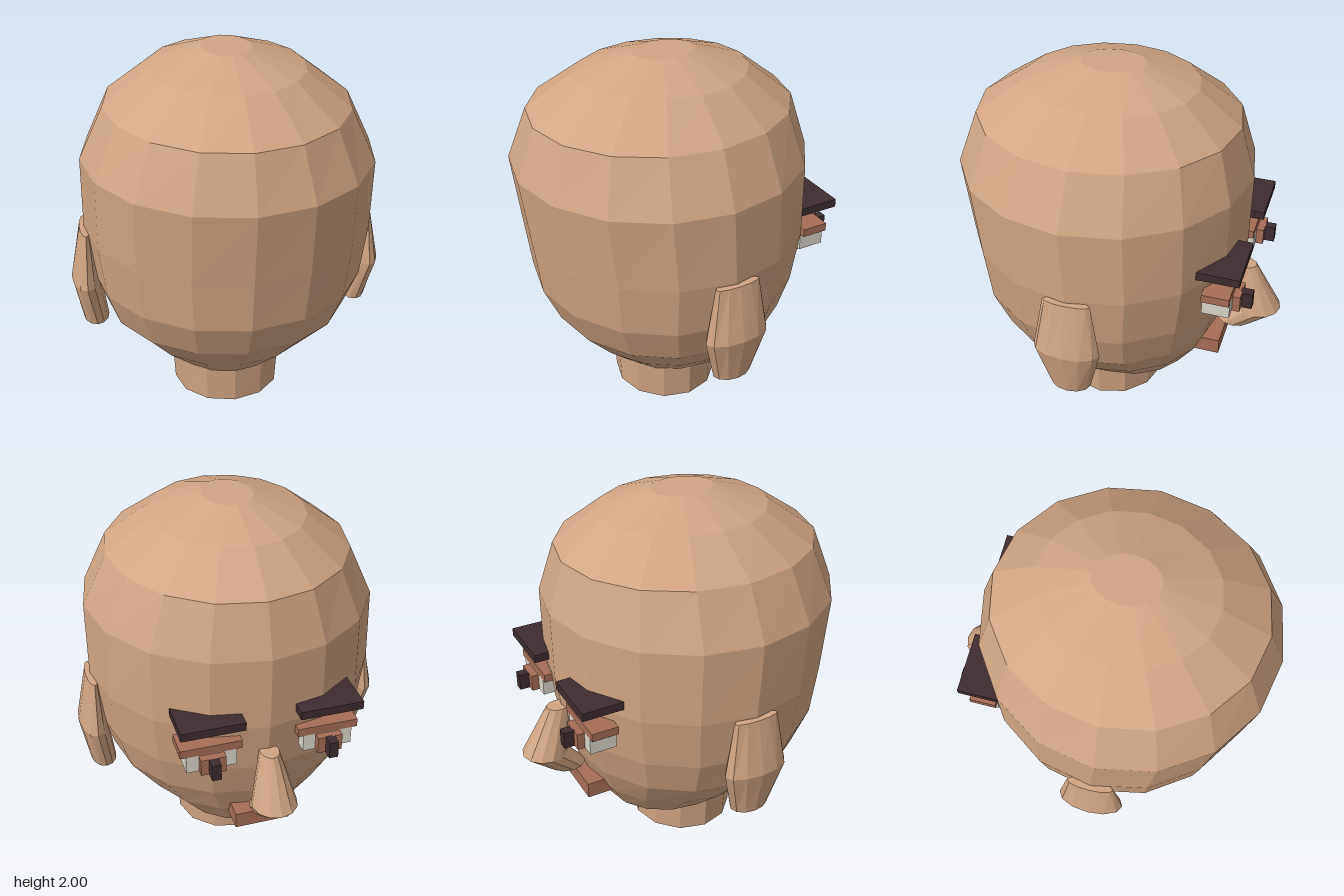
import * as THREE from 'three';

const flat = (color, name) => {
  const m = new THREE.MeshStandardMaterial({ color, flatShading: true });
  m.name = name;
  return m;
};

// Capped low-poly loft through elliptical rings, bottom to top:
// [y, centre x, half width x, z at back (+), z at front (-)]
function loft(rings, sides) {
  const pos = [], idx = [];
  for (const [y, cx, rx, zb, zf] of rings) {
    for (let j = 0; j < sides; j++) {
      const a = (j / sides) * Math.PI * 2;
      pos.push(cx + rx * Math.sin(a), y, (zb + zf) / 2 + ((zb - zf) / 2) * Math.cos(a));
    }
  }
  const last = (rings.length - 1) * sides;
  for (let j = 0; j < sides; j++) {
    const k = (j + 1) % sides;
    for (let r = 0; r < last; r += sides) {
      idx.push(r + j, r + k, r + sides + k, r + j, r + sides + k, r + sides + j);
    }
    if (j > 0 && k > 0) {
      idx.push(0, k, j); // bottom cap
      idx.push(last, last + j, last + k); // top cap
    }
  }
  const g = new THREE.BufferGeometry();
  g.setAttribute('position', new THREE.Float32BufferAttribute(pos, 3));
  g.setIndex(idx);
  const out = g.toNonIndexed();
  out.computeVertexNormals();
  return out;
}

export function createModel() {
  const skin = flat(0xd0a584, 'skin');
  const lip = flat(0xa66e58, 'lip and lid');
  const white = flat(0xdad7cb, 'eye white');
  const dark = flat(0x3e2d30, 'dark hair');

  const model = new THREE.Group();
  model.name = 'head';
  const add = (name, geometry, material, parent = model) => {
    const m = new THREE.Mesh(geometry, material);
    m.name = name;
    parent.add(m);
    return m;
  };
  // Box given by its x, y and z ranges
  const box = (name, x, y, z, material, parent) =>
    add(name, new THREE.BoxGeometry(x[1] - x[0], y[1] - y[0], z[1] - z[0]), material, parent)
      .position.set((x[0] + x[1]) / 2, (y[0] + y[1]) / 2, (z[0] + z[1]) / 2);

  // Skull and jaw
  add('skull', loft([
    [0.21, 0, 0.335, 0.37, -0.38],
    [0.385, 0, 0.51, 0.55, -0.49],
    [0.57, 0, 0.665, 0.71, -0.57],
    [0.775, 0, 0.735, 0.80, -0.63],
    [1.06, 0, 0.77, 0.835, -0.675],
    [1.455, 0, 0.767, 0.885, -0.68],
    [1.73, 0, 0.635, 0.785, -0.60],
    [1.905, 0, 0.405, 0.53, -0.375],
    [2.0, 0, 0.13, 0.24, -0.10],
  ], 16), skin);

  add('neck', loft([
    [0, 0, 0.30, 0.36, -0.21],
    [0.22, 0, 0.312, 0.37, -0.22],
  ], 12), skin);

  add('nose', loft([
    [0.525, 0, 0.09, -0.54, -0.74],
    [0.645, 0, 0.12, -0.645, -0.885],
    [0.91, 0, 0.05, -0.60, -0.735],
  ], 12), skin);

  box('mouth', [-0.15, 0.15], [0.355, 0.445], [-0.585, -0.44], lip);

  // Paired features
  for (const s of [1, -1]) {
    const side = s > 0 ? 'left' : 'right';
    add(side + 'Ear', loft([
      [0.485, s * 0.735, 0.07, 0.18, -0.03],
      [0.75, s * 0.777, 0.078, 0.255, -0.10],
      [1.05, s * 0.765, 0.03, 0.20, -0.05],
    ], 12), skin);

    const eye = new THREE.Group();
    eye.name = side + 'Eye';
    eye.position.x = s * 0.306;
    model.add(eye);
    box('eyeball', [-0.13, 0.13], [0.875, 0.97], [-0.68, -0.535], white, eye);
    box('eyelid', [-0.16, 0.16], [0.97, 1.015], [-0.68, -0.535], lip, eye);
    box('iris', [-0.065, 0.065], [0.875, 0.967], [-0.72, -0.67], lip, eye);
    box('pupil', [-0.024, 0.024], [0.875, 0.967], [-0.775, -0.71], dark, eye);
    box('eyebrow', [-0.165, 0.165], [1.11, 1.155], [-0.727, -0.505], dark, eye);
  }
  return model;
}
